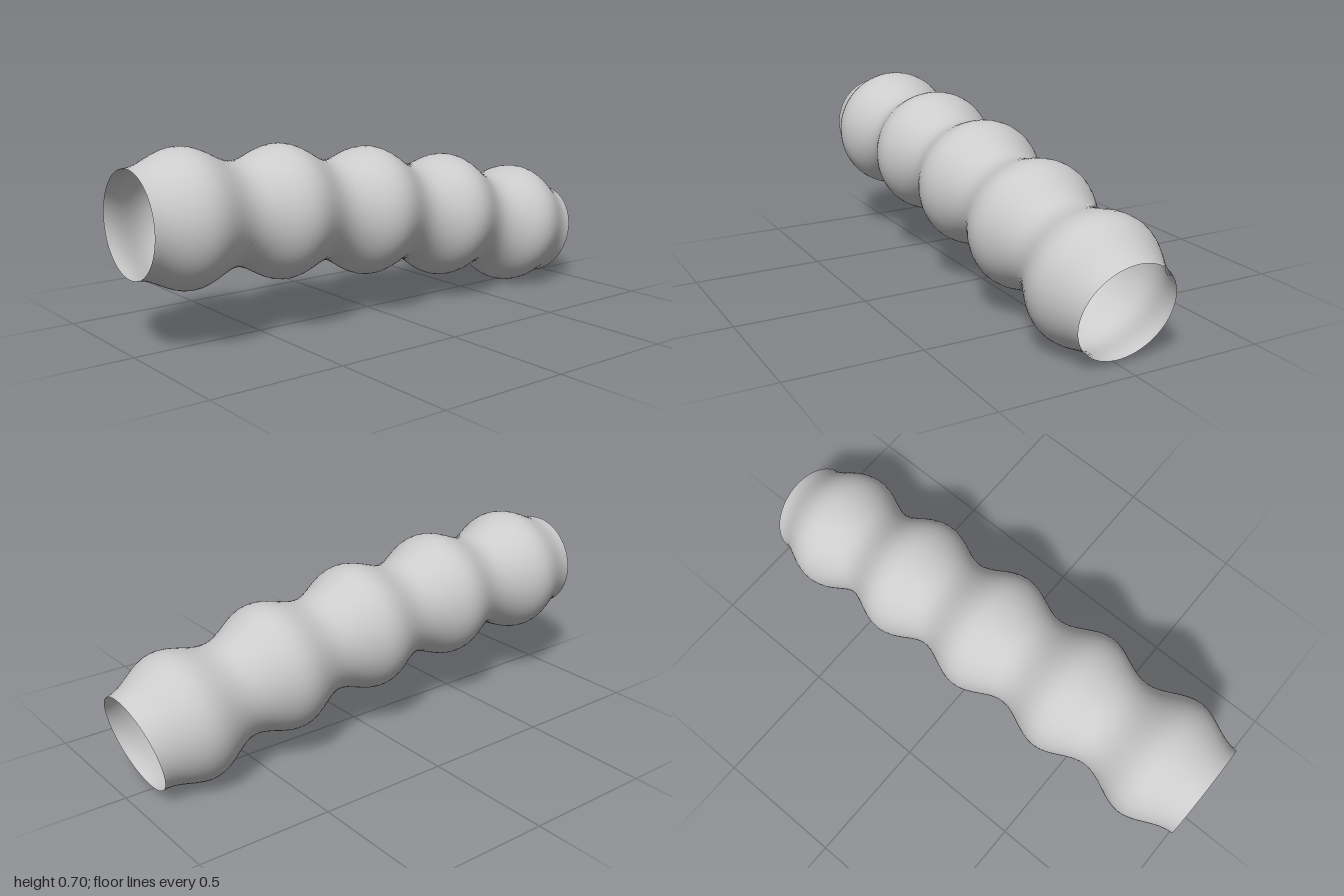
import * as THREE from 'three';
import { mergeVertices } from 'three/addons/utils/BufferGeometryUtils.js';

const BULGES = 5;
const BEND = THREE.MathUtils.degToRad(15.2); // total turn of the hose
const ARC_RADIUS = 7.44;                     // radius of the centre line
const LENGTH = ARC_RADIUS * BEND;
const START = { x: -1, y: 0.455 };           // centre of the level open end

// Wavy profile turned into a straight tube lying along +x
function straightHose() {
  const steps = BULGES * 16;
  const profile = [];
  for (let i = 0; i <= steps; i++) {
    const t = i / steps;
    const radius = 0.217 - 0.03 * Math.cos(t * BULGES * Math.PI * 2);
    profile.push(new THREE.Vector2(radius, t * LENGTH));
  }
  return new THREE.LatheGeometry(profile, 64).rotateZ(-Math.PI / 2);
}

// Wrap the tube's length around an arc that curves downwards
function bendDown(geometry) {
  const p = geometry.attributes.position;
  for (let i = 0; i < p.count; i++) {
    const a = p.getX(i) / ARC_RADIUS;
    const r = ARC_RADIUS + p.getY(i);
    p.setXY(i, START.x + r * Math.sin(a), START.y - ARC_RADIUS + r * Math.cos(a));
  }
  // Weld the seam so the shading stays smooth all round
  geometry.deleteAttribute('uv');
  geometry.deleteAttribute('normal');
  const welded = mergeVertices(geometry, 1e-5);
  welded.computeVertexNormals();
  return welded;
}

export function createModel() {
  const group = new THREE.Group();
  group.name = 'bellowsHose';

  // Thin wall, open at both ends
  const material = new THREE.MeshStandardMaterial({ color: 0xcccccc, side: THREE.DoubleSide });
  const hose = new THREE.Mesh(bendDown(straightHose()), material);
  hose.name = 'corrugatedTube';
  group.add(hose);

  return group;
}
